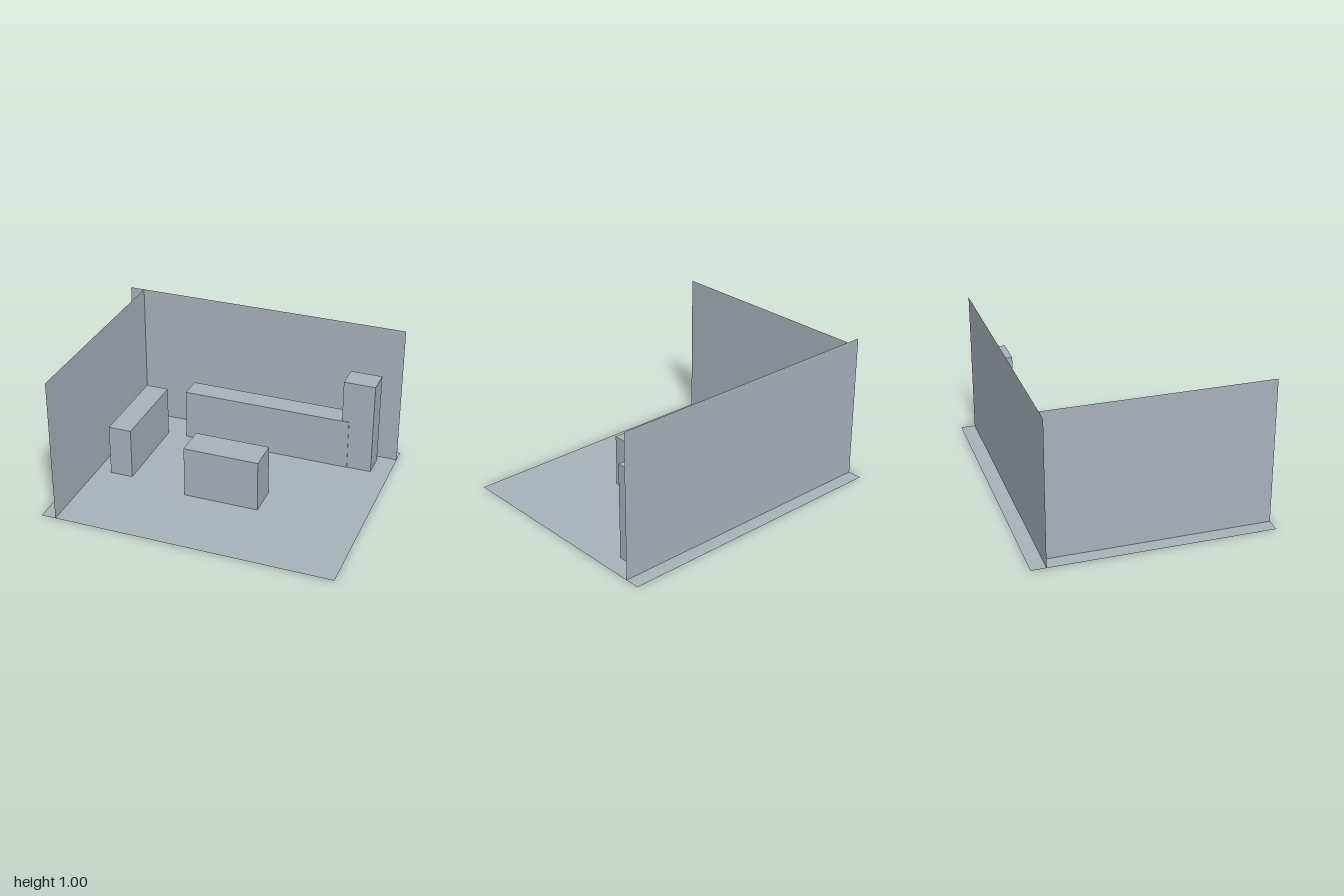
import * as THREE from 'three';

export function createModel() {
  const room = new THREE.Group();
  room.name = 'room';
  const grey = new THREE.MeshStandardMaterial({ color: 0xa8b0b9, side: THREE.DoubleSide });
  grey.name = 'plain grey';

  // Thin sheet, turned to face its direction
  function sheet(name, width, height, position, rotation) {
    const mesh = new THREE.Mesh(new THREE.PlaneGeometry(width, height), grey);
    mesh.name = name;
    mesh.position.set(...position);
    mesh.rotation.set(...rotation);
    room.add(mesh);
  }

  // Block standing on the floor, given by its x and z extents
  function block(name, x0, x1, z0, z1, height) {
    const mesh = new THREE.Mesh(new THREE.BoxGeometry(x1 - x0, height, z1 - z0), grey);
    mesh.name = name;
    mesh.position.set((x0 + x1) / 2, height / 2, (z0 + z1) / 2);
    room.add(mesh);
  }

  // Floor and two walls
  sheet('floor', 2, 1.6, [0, 0, 0], [-Math.PI / 2, 0, 0]);
  sheet('backWall', 2, 1, [0, 0.5, -0.7], [0, 0, 0]);
  sheet('sideWall', 1.5, 1, [-0.9, 0.5, 0.05], [0, Math.PI / 2, 0]);

  // Furniture
  block('sideCounter', -0.8, -0.64, -0.48, 0.16, 0.36);
  block('backCounter', -0.5, 0.7, -0.64, -0.48, 0.36);
  block('tallCabinet', 0.65, 0.87, -0.655, -0.485, 0.66);
  block('island', -0.22, 0.3, 0.02, 0.24, 0.36);

  return room;
}
